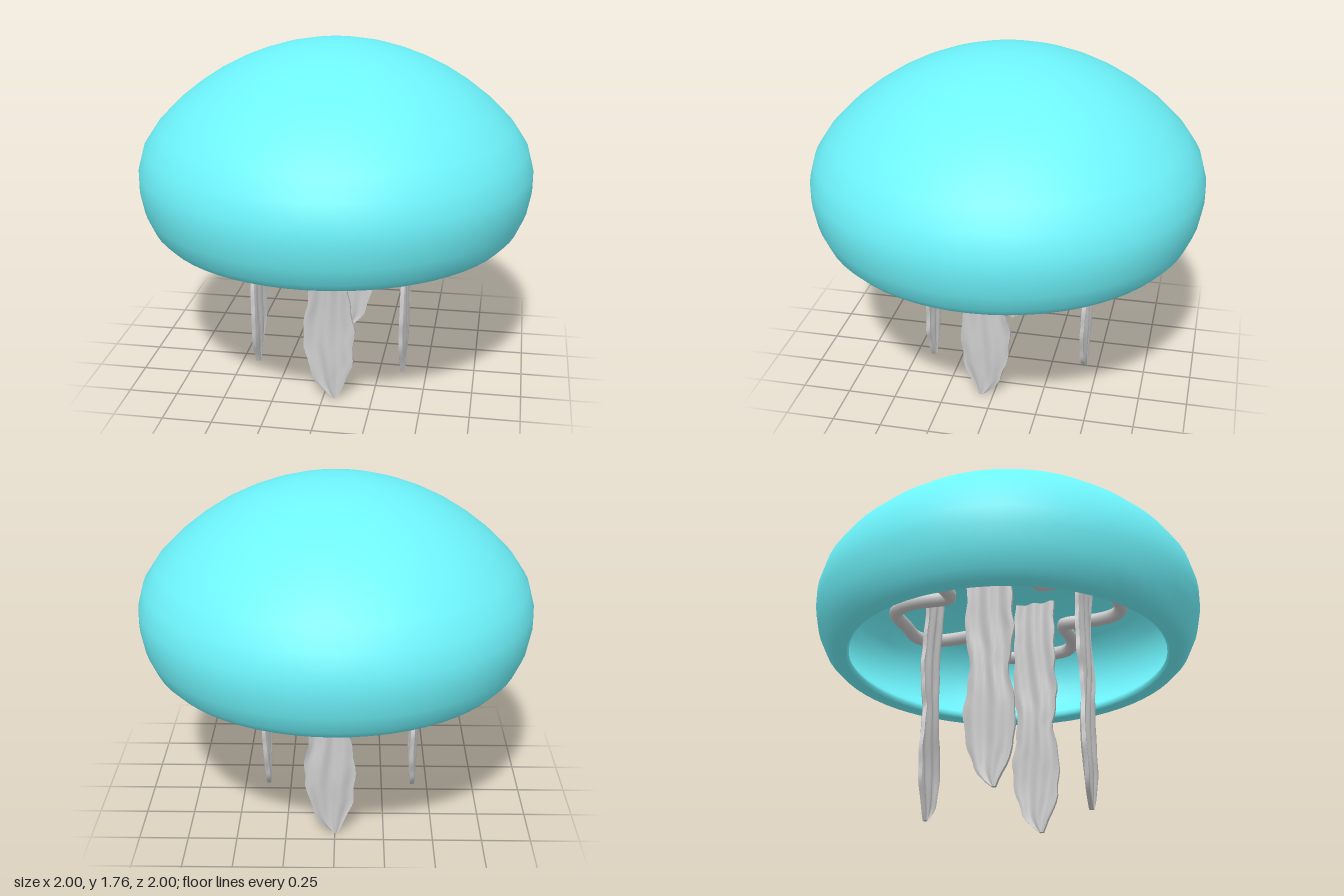
import * as THREE from 'three';

const grey = new THREE.MeshStandardMaterial({ color: 0xcccccc, side: THREE.DoubleSide });
const teal = new THREE.MeshStandardMaterial({ color: 0x6ef4fc, side: THREE.DoubleSide });

function addMesh(parent, name, geometry, material) {
  const mesh = new THREE.Mesh(geometry, material);
  mesh.name = name;
  parent.add(mesh);
  return mesh;
}

// Hollow bell in one smooth profile: inner wall, rounded rim, outer wall up to the crown
function bellGeometry() {
  const profile = [
    [0, 1.7], [0.2, 1.68], [0.4, 1.63], [0.6, 1.535], [0.75, 1.42], [0.86, 1.3], [0.91, 1.21],
    [0.93, 1.13], [0.93, 1.05], [0.91, 0.97], [0.87, 0.9], [0.83, 0.855], [0.82, 0.83], [0.835, 0.815],
    [0.9, 0.813], [0.94, 0.855], [0.98, 0.945], [1, 1.05], [1, 1.14], [0.97, 1.25], [0.9, 1.355],
    [0.8, 1.456], [0.7, 1.536], [0.6, 1.602], [0.5, 1.655], [0.4, 1.697], [0.3, 1.73],
    [0.2, 1.753], [0.1, 1.766], [0, 1.77],
  ];
  return new THREE.LatheGeometry(profile.map(([r, y]) => new THREE.Vector2(r, y)), 64);
}

// Four-lobed ring hanging inside the bell
function ringGeometry() {
  const points = [];
  for (let i = 0; i < 64; i++) {
    const a = (i / 64) * Math.PI * 2;
    const r = 0.51 + 0.12 * Math.cos(4 * a) - 0.05 * Math.cos(8 * a);
    points.push(new THREE.Vector3(r * Math.cos(a), 1.11, r * Math.sin(a)));
  }
  return new THREE.TubeGeometry(new THREE.CatmullRomCurve3(points, true), 160, 0.036, 10, true);
}

// Ribbon outline from tip to top: height, left edge, right edge
const OUTLINE = [
  [0.005, 0.04, 0.06], [0.05, -0.01, 0.085], [0.1, -0.045, 0.11], [0.2, -0.08, 0.145],
  [0.3, -0.1, 0.15], [0.4, -0.105, 0.155], [0.5, -0.085, 0.135], [0.6, -0.075, 0.12],
  [0.7, -0.08, 0.14], [0.8, -0.1, 0.15], [0.9, -0.09, 0.14], [1.05, -0.085, 0.14], [1.33, -0.08, 0.14],
];

function outlineAt(y) {
  let i = 1;
  while (i < OUTLINE.length - 1 && OUTLINE[i][0] < y) i++;
  const [a, b] = [OUTLINE[i - 1], OUTLINE[i]];
  const t = (y - a[0]) / (b[0] - a[0]);
  return [1, 2].map((k) => THREE.MathUtils.lerp(a[k], b[k], t));
}

// Thin box bent into a ruffled ribbon with lengthwise folds
function armGeometry(phase, flip) {
  const geometry = new THREE.BoxGeometry(1, 1, 1, 18, 42, 1);
  const p = geometry.attributes.position;
  for (let i = 0; i < p.count; i++) {
    const y = 0.005 + 1.325 * (p.getY(i) + 0.5);
    let u = p.getX(i) + 0.5;
    if (flip) u = 1 - u;
    const [left, right] = outlineAt(y);
    const edge = Math.abs(2 * u - 1) ** 3;
    const ruffle = 0.004 * edge * Math.sin(y * 38 + phase);
    const x = THREE.MathUtils.lerp(left, right, u) + ruffle;
    const fold = 0.01 * Math.sin(u * 14 + 1.5 * Math.sin(y * 5 + phase)) + 0.003 * Math.sin(y * 11 + phase);
    const fade = THREE.MathUtils.smoothstep(y, -0.1, 0.25);
    p.setXYZ(i, flip ? 0.05 - x : x, y, fold * fade + p.getZ(i) * 0.02);
  }
  geometry.computeVertexNormals();
  return geometry;
}

export function createModel() {
  const group = new THREE.Group();
  group.name = 'jellyfish';

  addMesh(group, 'bell', bellGeometry(), teal);
  addMesh(group, 'lobedRing', ringGeometry(), grey);

  // Four hanging arms, broad faces turned outward
  const arms = [
    ['frontArm', 0.005, 0.405, 0, false],
    ['backArm', 0, -0.433, 0, true],
    ['leftArm', 0.374, 0.012, -Math.PI / 2, false],
    ['rightArm', -0.417, 0.012, -Math.PI / 2, false],
  ];
  arms.forEach(([name, x, z, turn, flip], i) => {
    const arm = addMesh(group, name, armGeometry(i * 0.9, flip), grey);
    arm.position.set(x, 0, z);
    arm.rotation.y = turn;
  });
  return group;
}
